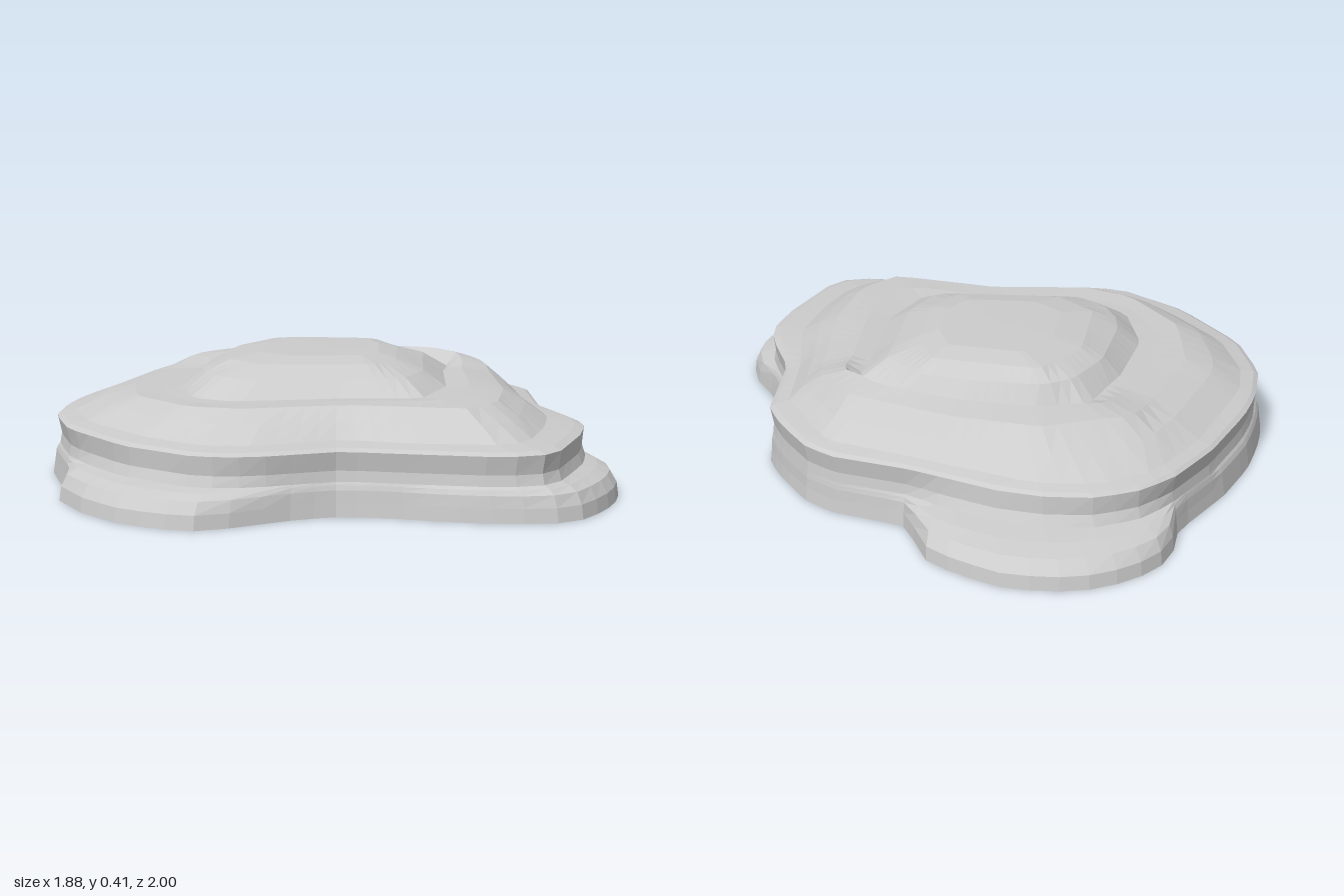
import * as THREE from 'three';

const SEGMENTS = 76;

// Outlines seen from above as [x, z], running round from the back by the right side
const foot = [
  [-0.4, -1], [-0.25, -1], [-0.1, -0.95], [0.02, -0.88], [0.06, -0.79], [0.12, -0.7], [0.36, -0.66],
  [0.46, -0.61], [0.58, -0.48], [0.66, -0.37], [0.69, -0.15], [0.71, -0.03], [0.8, 0.12], [0.9, 0.24],
  [0.945, 0.36], [0.935, 0.48], [0.89, 0.63], [0.82, 0.75], [0.74, 0.805], [0.6, 0.83], [0.4, 0.82],
  [0.25, 0.79], [0.08, 0.78], [-0.05, 0.83], [-0.29, 0.985], [-0.36, 1], [-0.48, 0.97], [-0.6, 0.91],
  [-0.72, 0.8], [-0.835, 0.63], [-0.83, 0.52], [-0.89, 0.37], [-0.945, 0.22], [-0.94, 0.05], [-0.92, -0.1],
  [-0.86, -0.3], [-0.74, -0.56], [-0.74, -0.74], [-0.65, -0.87], [-0.55, -0.95],
];
const rim = [
  [-0.35, -0.78], [-0.2, -0.77], [0.1, -0.69], [0.36, -0.655], [0.46, -0.605], [0.58, -0.475], [0.655, -0.365],
  [0.695, -0.03], [0.78, 0.12], [0.835, 0.25], [0.82, 0.42], [0.745, 0.7], [0.69, 0.77], [0.57, 0.805],
  [0.3, 0.785], [0.08, 0.765], [-0.18, 0.87], [-0.35, 0.88], [-0.6, 0.735], [-0.83, 0.48], [-0.92, 0.25],
  [-0.925, 0.05], [-0.9, -0.1], [-0.82, -0.37], [-0.72, -0.58], [-0.62, -0.69], [-0.5, -0.755],
];
const ledge = [
  [-0.3, -0.73], [0.1, -0.64], [0.4, -0.58], [0.6, -0.32], [0.64, -0.05], [0.715, 0.22], [0.7, 0.42],
  [0.65, 0.64], [0.58, 0.71], [0.3, 0.71], [0.08, 0.67], [-0.2, 0.79], [-0.36, 0.79], [-0.55, 0.67],
  [-0.77, 0.44], [-0.86, 0.22], [-0.87, 0.05], [-0.77, -0.35], [-0.66, -0.58], [-0.5, -0.7],
];
const shoulder = [
  [-0.3, -0.55], [0, -0.54], [0.35, -0.46], [0.5, -0.3], [0.53, -0.1], [0.57, 0.2], [0.55, 0.46],
  [0.45, 0.59], [0.08, 0.56], [-0.25, 0.63], [-0.42, 0.59], [-0.62, 0.38], [-0.68, 0.1], [-0.56, -0.4],
];
const domeBase = [
  [-0.41, -0.3], [-0.25, -0.37], [0, -0.39], [0.2, -0.37], [0.37, -0.28], [0.36, -0.1], [0.38, 0.2],
  [0.31, 0.42], [0.05, 0.43], [-0.3, 0.49], [-0.43, 0.43], [-0.51, 0.2], [-0.48, -0.08],
];
const domeTop = [
  [-0.24, -0.28], [0.12, -0.27], [0.2, -0.1], [0.21, 0.15], [0.14, 0.28], [-0.2, 0.32], [-0.34, 0.22], [-0.35, -0.08],
];

// Radius of an outline at each angle, found by ray and edge crossing
function radii(outline) {
  return Array.from({ length: SEGMENTS }, (_, i) => {
    const angle = (i / SEGMENTS) * Math.PI * 2;
    const c = Math.cos(angle), s = Math.sin(angle);
    let radius = 0;
    outline.forEach(([ax, az], k) => {
      const [bx, bz] = outline[(k + 1) % outline.length];
      const da = c * az - s * ax, db = c * bz - s * bx;
      if (da * db > 0 || da === db) return;
      const t = da / (da - db);
      const along = c * (ax + (bx - ax) * t) + s * (az + (bz - az) * t);
      radius = Math.max(radius, along);
    });
    return radius;
  });
}

const F = radii(foot), R = radii(rim), L = radii(ledge);
const S = radii(shoulder), D = radii(domeBase), T = radii(domeTop);

// A ring blends two outlines; its height may depend on direction
function ring(from, to, blend, scale, height) {
  return from.map((r, i) => {
    const angle = (i / SEGMENTS) * Math.PI * 2;
    const radius = (r + (to[i] - r) * blend) * scale;
    const x = Math.cos(angle), z = Math.sin(angle);
    const y = typeof height === 'number' ? height : height(x, z);
    return [x * radius, y, z * radius];
  });
}

// Skin a stack of rings, closing the last one if an apex is given
function skin(name, rings, apex) {
  const positions = rings.flat(2);
  const index = [];
  for (let j = 0; j < rings.length - 1; j++) {
    for (let i = 0; i < SEGMENTS; i++) {
      const n = (i + 1) % SEGMENTS;
      const a = j * SEGMENTS + i, b = j * SEGMENTS + n;
      index.push(a, a + SEGMENTS, b, b, a + SEGMENTS, b + SEGMENTS);
    }
  }
  if (apex) {
    const start = (rings.length - 1) * SEGMENTS, tip = rings.length * SEGMENTS;
    positions.push(...apex);
    for (let i = 0; i < SEGMENTS; i++) index.push(start + i, tip, start + ((i + 1) % SEGMENTS));
  }
  const geometry = new THREE.BufferGeometry();
  geometry.setAttribute('position', new THREE.Float32BufferAttribute(positions, 3));
  geometry.setIndex(index);
  geometry.computeVertexNormals();
  const material = new THREE.MeshStandardMaterial({ color: 0xcccccc, flatShading: true, side: THREE.DoubleSide });
  const mesh = new THREE.Mesh(geometry, material);
  mesh.name = name;
  return mesh;
}

export function createModel() {
  const model = new THREE.Group();
  model.name = 'layeredRock';

  // The back of the shoulder rises into a ridge with a groove inside it
  const back = (z) => THREE.MathUtils.smoothstep(-z, 0.3, 0.75);
  const shoulderHeight = (x, z) => 0.292 + 0.006 * x + 0.014 * Math.max(z, 0) + 0.032 * back(z);
  const ridgeHeight = (x, z) => 0.305 + 0.012 * x + 0.035 * back(z);
  const grooveHeight = (x, z) => 0.303 + 0.006 * x - 0.01 * back(z);

  const footTop = ring(R, F, 0.14, 0.99, 0.106);
  const rimEdge = ring(R, R, 0, 1, 0.2);
  const ridge = ring(D, S, 0.4, 1, ridgeHeight);

  // Low foot with three lobes spreading past the wall
  model.add(skin('lobedFoot', [
    ring(F, F, 0, 1, 0),
    ring(F, F, 0, 0.993, 0.045),
    ring(F, R, 0.18, 0.991, 0.082),
    ring(F, R, 0.5, 0.99, 0.097),
    footTop,
  ]));

  // Slightly pinched wall
  model.add(skin('wall', [footTop, ring(R, F, 0.07, 0.985, 0.14), rimEdge]));

  // Flat ledge, steep step and sloping shoulder
  model.add(skin('shoulder', [
    rimEdge,
    ring(R, L, 0.25, 1, 0.209),
    ring(L, L, 0, 1, 0.218),
    ring(L, S, 0.5, 1, 0.265),
    ring(S, S, 0, 1, shoulderHeight),
    ridge,
  ]));

  // Flat-topped dome
  model.add(skin('dome', [
    ridge,
    ring(D, D, 0, 1, grooveHeight),
    ring(D, T, 0.45, 1, 0.357),
    ring(T, T, 0, 1, 0.392),
    ring(T, T, 0, 0.7, 0.408),
  ], [-0.06, 0.41, 0.01]));

  return model;
}
